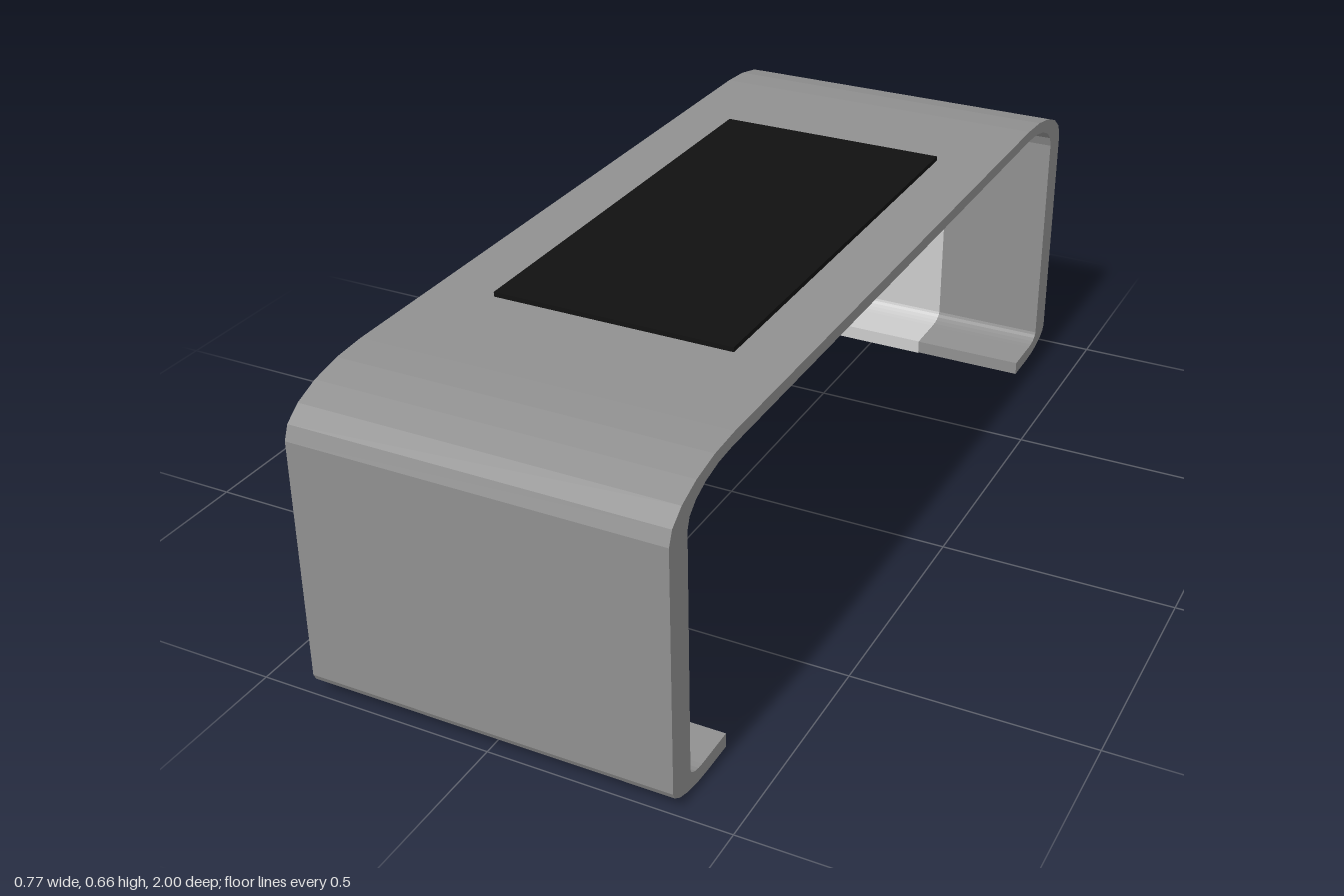
import * as THREE from 'three';

const WIDTH = 0.767;

// Elliptical corner arc from angle a to b (degrees), as [across, up] points
function arc(cx, cy, rx, ry, a, b, n = 5) {
  return Array.from({ length: n + 1 }, (_, i) => {
    const t = THREE.MathUtils.degToRad(a + (b - a) * i / n);
    return new THREE.Vector2(cx + rx * Math.cos(t), cy + ry * Math.sin(t));
  });
}

// Appends the mirrored half so the path runs from one foot to the other
function mirrored(half) {
  return [...half, ...half.map(p => new THREE.Vector2(-p.x, p.y)).reverse()];
}

// Extrudes a side profile across the width, centred on x = 0
function extrudeAcross(points, width) {
  const geometry = new THREE.ExtrudeGeometry(new THREE.Shape(points), { depth: width, bevelEnabled: false });
  return geometry.translate(0, 0, -width / 2).rotateY(Math.PI / 2);
}

// Shifts a path sideways, to its left
function offsetPath(path, d) {
  return path.map((p, i) => {
    const a = path[Math.max(i - 1, 0)], b = path[Math.min(i + 1, path.length - 1)];
    const n1 = p.clone().sub(a).normalize(), n2 = b.clone().sub(p).normalize();
    const t = n1.add(n2).normalize();
    return new THREE.Vector2(p.x - t.y * d, p.y + t.x * d);
  });
}

export function createModel() {
  const model = new THREE.Group();
  const add = (name, geometry, color) => {
    const mesh = new THREE.Mesh(geometry, new THREE.MeshStandardMaterial({ color }));
    mesh.name = name;
    model.add(mesh);
    return mesh;
  };

  // Bent band: top, two legs and inward-turned feet
  const outerHalf = [
    new THREE.Vector2(0.795, 0),
    ...arc(0.87, 0.043, 0.13, 0.043, -90, 0),
    ...arc(0.76, 0.553, 0.24, 0.094, 0, 90),
  ];
  const innerHalf = [
    new THREE.Vector2(0.795, 0.03),
    ...arc(0.89, 0.05, 0.045, 0.02, -90, 0),
    ...arc(0.77, 0.55, 0.165, 0.072, 0, 90),
  ];
  const band = [...mirrored(outerHalf), ...mirrored(innerHalf).reverse()];
  add('band', extrudeAcross(band, WIDTH), 0x909090);

  // Pale stripe lining the inside, wrapped round the foot tips
  const stripePath = mirrored([new THREE.Vector2(0.87, 0), new THREE.Vector2(0.795, 0), ...innerHalf]);
  const stripe = [...stripePath, ...offsetPath(stripePath, 0.0015).reverse()];
  add('innerStripe', extrudeAcross(stripe, WIDTH / 3), 0xcccccc);

  // Dark panel lying on the top
  add('topPanel', new THREE.BoxGeometry(0.512, 0.012, 1.012), 0x111111).position.y = 0.651;

  return model;
}
